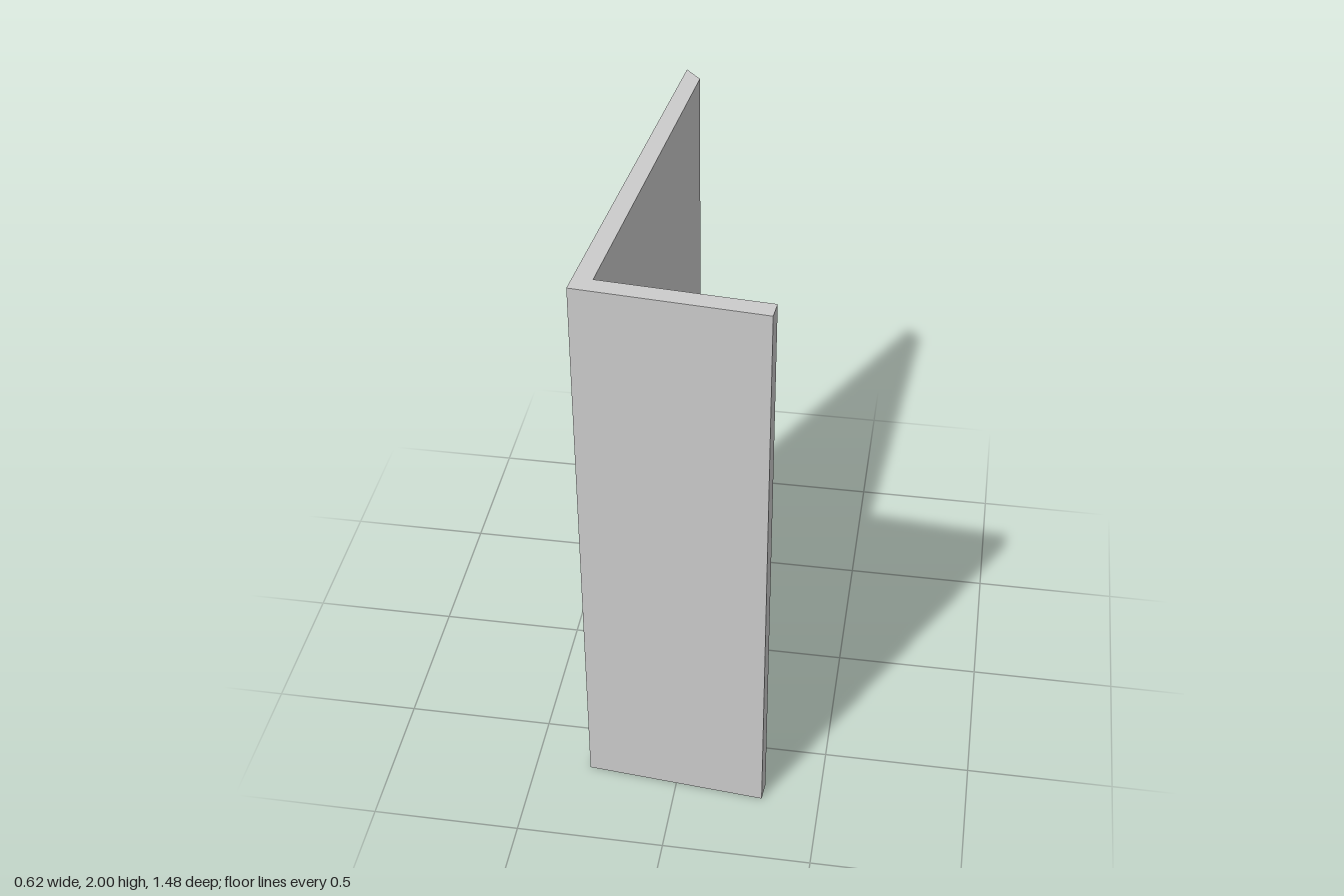
import * as THREE from 'three';

const HEIGHT = 2;

// Plan outline of the angled wall as [x, z] corners
const OUTLINE = [
  [-0.185, -0.74], // mitred tip of the long leg
  [-0.13, -0.677],
  [-0.242, 0.628], // inner corner
  [0.308, 0.676], // end of the short leg
  [0.303, 0.74],
  [-0.31, 0.685], // outer corner
];

export function createModel() {
  const group = new THREE.Group();
  group.name = 'cornerProfile';

  // L-shaped plan extruded upwards; shape y becomes -z after the turn
  const shape = new THREE.Shape(OUTLINE.map(([x, z]) => new THREE.Vector2(x, -z)));
  const geometry = new THREE.ExtrudeGeometry(shape, { depth: HEIGHT, bevelEnabled: false });
  geometry.rotateX(-Math.PI / 2);

  const wall = new THREE.Mesh(
    geometry,
    new THREE.MeshStandardMaterial({ color: 0xcccccc, flatShading: true })
  );
  wall.name = 'angledWall';
  group.add(wall);
  return group;
}
